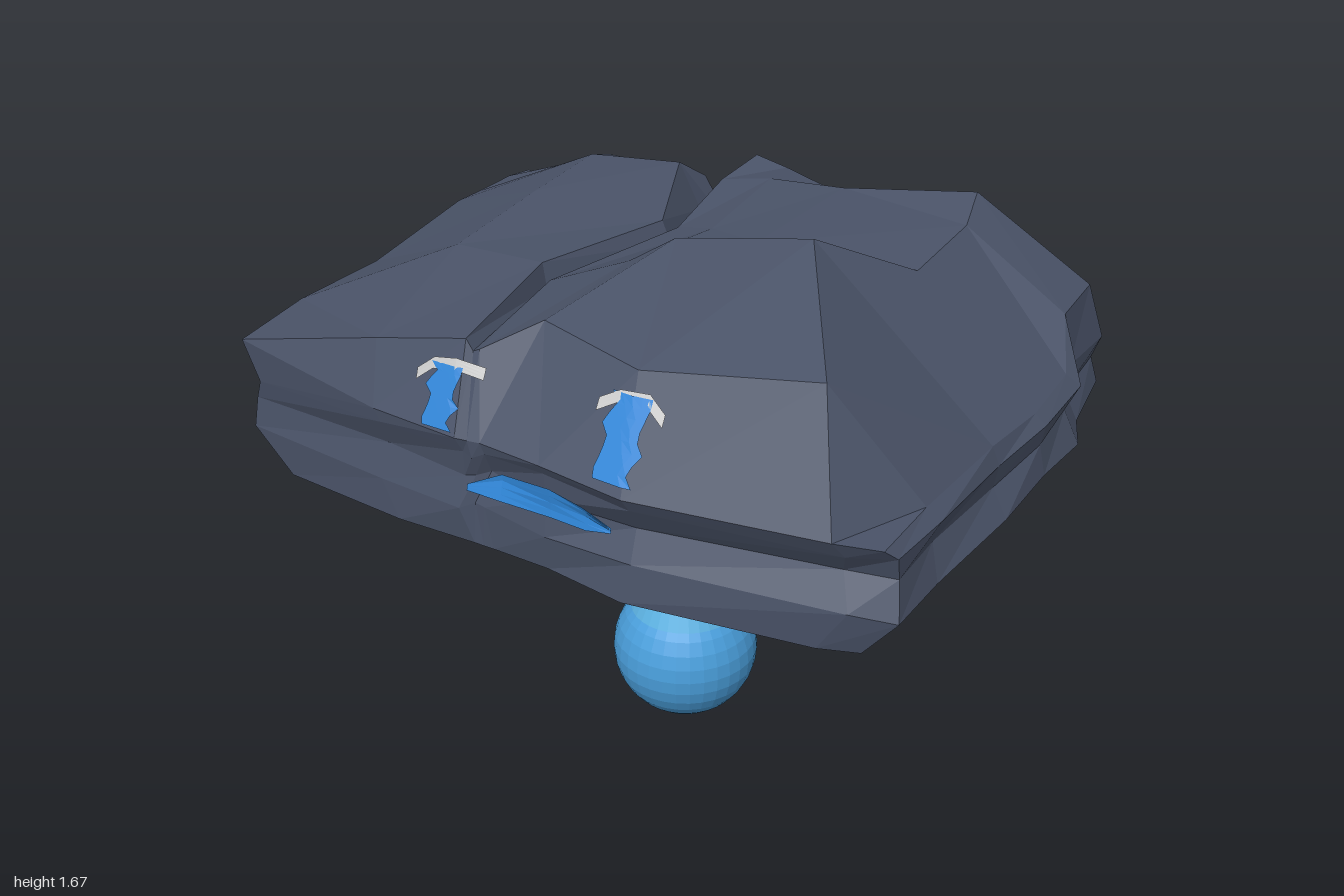
import * as THREE from 'three';

const ROCK = 0x4a5368, TEAR = 0x2f86d8, WATER = 0x4a9fdc, TIP = 0x5cb2e2, BROW = 0xf0f0f0;

const material = (color, extra = {}) =>
  new THREE.MeshStandardMaterial({ color, flatShading: true, ...extra });

// Top of the left slab, rows from front to back: rim, crest, seam edge
const leftSlab = [
  [[-0.95, 1.30, 0.68], [-0.50, 1.23, 0.71], [-0.24, 1.22, 0.72]],
  [[-0.96, 1.31, 0.42], [-0.52, 1.40, 0.65], [-0.26, 1.45, 0.62]],
  [[-0.95, 1.30, 0.10], [-0.60, 1.46, 0.18], [-0.31, 1.48, 0.20]],
  [[-0.99, 1.31, -0.36], [-0.60, 1.48, -0.20], [-0.18, 1.48, -0.20]],
  [[-0.98, 1.31, -0.45], [-0.61, 1.48, -0.52], [-0.33, 1.50, -0.55]],
  [[-0.97, 1.31, -0.60], [-0.62, 1.44, -0.63], [-0.30, 1.43, -0.65]],
  [[-0.96, 1.30, -0.69], [-0.60, 1.24, -0.69], [-0.30, 1.22, -0.69]],
];

// Top of the right slab, same rows: seam edge, slope, ridge, shoulder, rim
const rightSlab = [
  [[-0.17, 1.22, 0.71], [0.02, 1.22, 0.73], [0.27, 1.21, 0.755], [0.80, 1.22, 0.69], [0.92, 1.22, 0.66]],
  [[-0.22, 1.43, 0.62], [-0.09, 1.50, 0.52], [0.23, 1.48, 0.60], [0.69, 1.53, 0.52], [0.92, 1.22, 0.43]],
  [[-0.28, 1.44, 0.21], [-0.06, 1.53, 0.17], [0.04, 1.59, 0.10], [0.43, 1.67, 0.09], [0.94, 1.22, 0.08]],
  [[-0.13, 1.47, -0.20], [0.00, 1.51, -0.16], [0.17, 1.53, -0.10], [0.61, 1.53, -0.15], [0.96, 1.21, -0.15]],
  [[-0.16, 1.50, -0.50], [-0.02, 1.52, -0.53], [0.20, 1.53, -0.55], [0.61, 1.54, -0.46], [0.96, 1.23, -0.36]],
  [[-0.14, 1.52, -0.67], [-0.04, 1.50, -0.67], [0.20, 1.45, -0.65], [0.57, 1.57, -0.62], [0.90, 1.34, -0.48]],
  [[-0.10, 1.22, -0.69], [0.02, 1.22, -0.69], [0.25, 1.21, -0.70], [0.60, 1.24, -0.69], [0.89, 1.34, -0.69]],
];

const seamDepth = [0, 0.01, 0.03, 0.05, 0.12, 0.15, 0];

// Rings below the rim: height, and spread towards each side
const rings = [
  { y: 1.18, left: 0.96, right: 1.03, front: 0.985, ledge: 0.96, back: 1.07 },
  { y: 1.11, left: 0.98, right: 1.01, front: 0.955, ledge: 0.91, back: 1.05 },
  { y: 1.02, left: 1.01, right: 1.045, front: 0.98, ledge: 0.975, back: 1.085 },
  { y: 0.908, left: 0.89, right: 0.95, front: 0.975, ledge: 0.98, back: 1.045 },
];

function makeRock() {
  const positions = [];
  const tri = (...points) => points.forEach((p) => positions.push(...p));
  const quad = (a, b, c, d) => { tri(a, b, c); tri(a, c, d); };

  // Join the slabs with a sunken seam between them
  const grid = leftSlab.map((left, r) => {
    const right = rightSlab[r];
    const a = left[2], b = right[0];
    const seam = [(a[0] + b[0]) / 2, Math.min(a[1], b[1]) - seamDepth[r], (a[2] + b[2]) / 2];
    return [...left, seam, ...right];
  });
  const last = grid.length - 1, end = grid[0].length - 1;
  for (let r = 0; r < last; r++) {
    for (let c = 0; c < end; c++) {
      quad(grid[r][c], grid[r][c + 1], grid[r + 1][c + 1], grid[r + 1][c]);
    }
  }

  // Walk round the rim, then step down the broken sides
  const rim = [
    ...grid[0].slice(0, end),
    ...grid.slice(0, last).map((row) => row[end]),
    ...grid[last].slice(1).reverse(),
    ...grid.slice(1).reverse().map((row) => row[0]),
  ];
  let upper = rim;
  rings.forEach(({ y, left, right, front, ledge, back }, k) => {
    const lower = rim.map(([x, , z], i) => {
      const wobble = Math.sin(i * 2.3 + k * 1.9) * 0.01;
      const lift = k < 3 ? Math.sin(i * 1.7 + k) * 0.012 : 0;
      const spreadX = x < 0 ? left : right;
      const spreadZ = z < 0 ? back : x > 0.2 ? ledge : front;
      return [x * (spreadX + wobble), y + lift, z * (spreadZ + wobble)];
    });
    rim.forEach((_, i) => {
      const j = (i + 1) % rim.length;
      quad(lower[i], lower[j], upper[j], upper[i]);
    });
    upper = lower;
  });
  upper.forEach((p, i) => tri([0, 0.905, 0], upper[(i + 1) % upper.length], p));

  const geometry = new THREE.BufferGeometry();
  geometry.setAttribute('position', new THREE.Float32BufferAttribute(positions, 3));
  geometry.computeVertexNormals();
  const rock = new THREE.Mesh(geometry, material(ROCK));
  rock.name = 'rock';
  return rock;
}

// Thin patch laid on the rock's front; sections are [x1, y1, x2, y2] across it
function makePatch(name, rock, sections, color) {
  const ray = new THREE.Raycaster();
  const onRock = (x, y) => {
    ray.set(new THREE.Vector3(x, y, 3), new THREE.Vector3(0, 0, -1));
    const hit = ray.intersectObject(rock)[0];
    return (hit ? hit.point.z : 0.68) + 0.01;
  };
  const steps = 4, positions = [], index = [];
  sections.forEach(([x1, y1, x2, y2], s) => {
    for (let k = 0; k <= steps; k++) {
      const x = THREE.MathUtils.lerp(x1, x2, k / steps);
      const y = THREE.MathUtils.lerp(y1, y2, k / steps);
      positions.push(x, y, onRock(x, y));
      if (s && k) {
        const d = s * (steps + 1) + k, b = d - steps - 1;
        index.push(b - 1, d - 1, d, b - 1, d, b);
      }
    }
  });
  const geometry = new THREE.BufferGeometry();
  geometry.setAttribute('position', new THREE.Float32BufferAttribute(positions, 3));
  geometry.setIndex(index);
  geometry.computeVertexNormals();
  const patch = new THREE.Mesh(geometry, material(color, { side: THREE.DoubleSide }));
  patch.name = name;
  return patch;
}

// Wavy stream of tears from top to bottom
function tearSections(x, top, bottom, width) {
  const sections = [];
  for (let i = 0; i <= 8; i++) {
    const y = THREE.MathUtils.lerp(top, bottom, i / 8);
    const sway = Math.sin(i * 1.6) * 0.01;
    const half = width / 2 + Math.cos(i * 2.4) * 0.006;
    sections.push([x - half + sway, y, x + half + sway, y]);
  }
  return sections;
}

const browSections = (points) => points.map(([x, y]) => [x, y, x, y - 0.028]);

export function createModel() {
  const group = new THREE.Group();
  const rock = makeRock();
  group.add(rock);

  // Crying face
  group.add(
    makePatch('rightTears', rock, tearSections(-0.295, 1.385, 1.235, 0.08), TEAR),
    makePatch('leftTears', rock, tearSections(0.235, 1.43, 1.24, 0.10), TEAR),
    makePatch('rightBrow', rock,
      browSections([[-0.38, 1.36], [-0.335, 1.395], [-0.27, 1.405], [-0.19, 1.392]]), BROW),
    makePatch('leftBrow', rock,
      browSections([[0.145, 1.405], [0.20, 1.435], [0.28, 1.44], [0.33, 1.405]]), BROW),
    makePatch('mouth', rock, [
      [-0.22, 1.085, -0.22, 1.068], [-0.12, 1.135, -0.12, 1.064], [0.04, 1.155, 0.04, 1.072],
      [0.14, 1.135, 0.14, 1.062], [0.21, 1.085, 0.21, 1.072],
    ], TEAR),
  );

  // Falling drop
  const drop = new THREE.Group();
  drop.name = 'waterDrop';
  drop.position.set(-0.022, 0.213, -0.056);
  const ball = new THREE.Mesh(new THREE.SphereGeometry(0.213, 32, 16), material(WATER));
  ball.name = 'dropBall';
  const tip = new THREE.Mesh(new THREE.ConeGeometry(0.168, 0.345, 32), material(TIP));
  tip.name = 'dropTip';
  tip.position.y = 0.295;
  drop.add(ball, tip);
  group.add(drop);

  return group;
}
